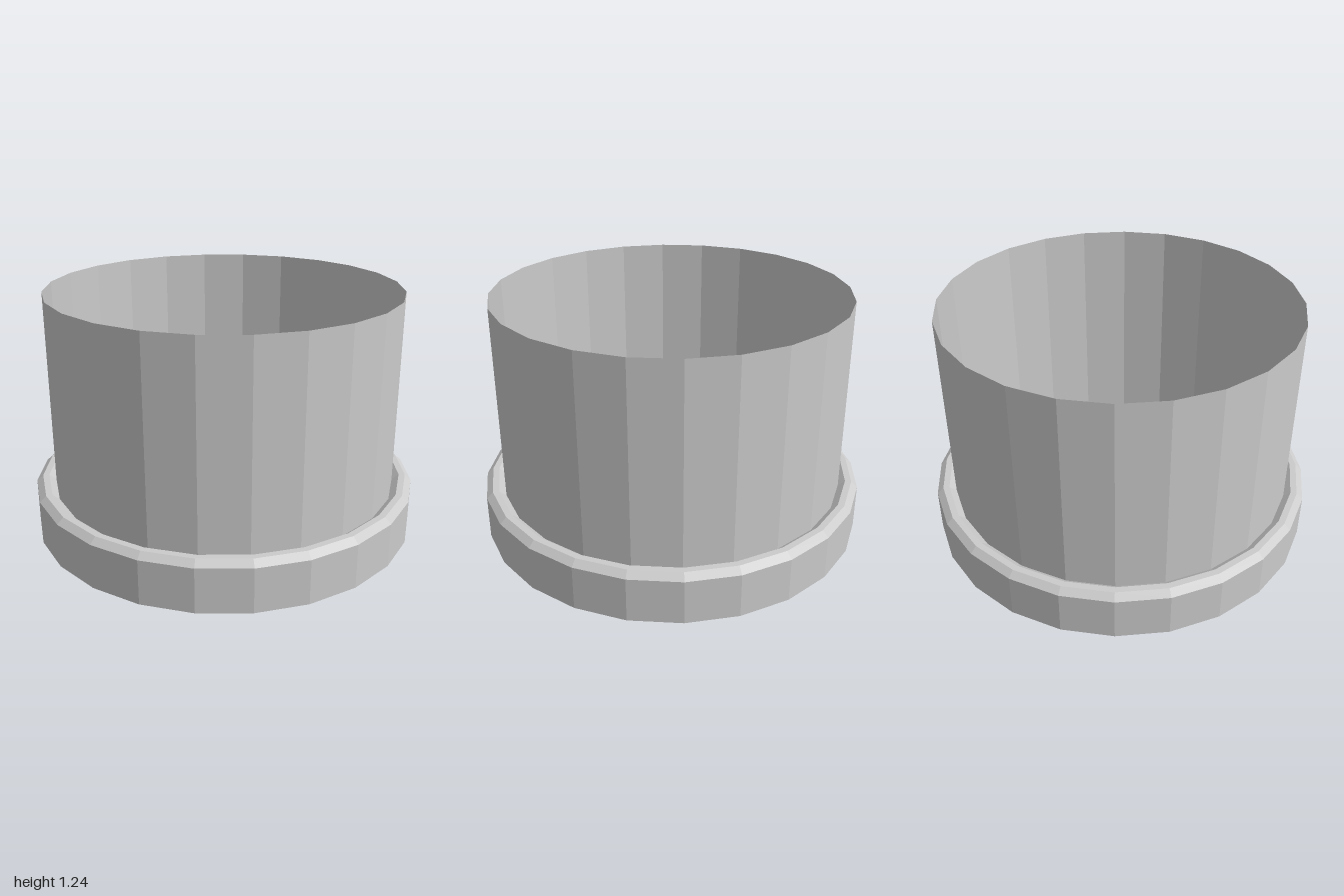
import * as THREE from 'three';

const SIDES = 24;

// Revolve a [radius, height] profile into a faceted part
function revolve(name, profile) {
  const points = profile.map(([r, y]) => new THREE.Vector2(r, y));
  const material = new THREE.MeshStandardMaterial({
    color: 0xcccccc, flatShading: true, side: THREE.DoubleSide,
  });
  const mesh = new THREE.Mesh(new THREE.LatheGeometry(points, SIDES), material);
  mesh.name = name;
  return mesh;
}

export function createModel() {
  const group = new THREE.Group();
  group.name = 'collaredSleeve';

  // Base collar: closed ring with both top edges chamfered
  group.add(revolve('baseCollar', [
    [0.9, 0], [1, 0], [1, 0.228], [0.967, 0.258],
    [0.935, 0.258], [0.9, 0.228], [0.9, 0],
  ]));

  // Thin open sleeve rising from the collar's inner edge
  group.add(revolve('sleeveWall', [[0.9, 0.228], [0.9, 1.243]]));

  return group;
}
